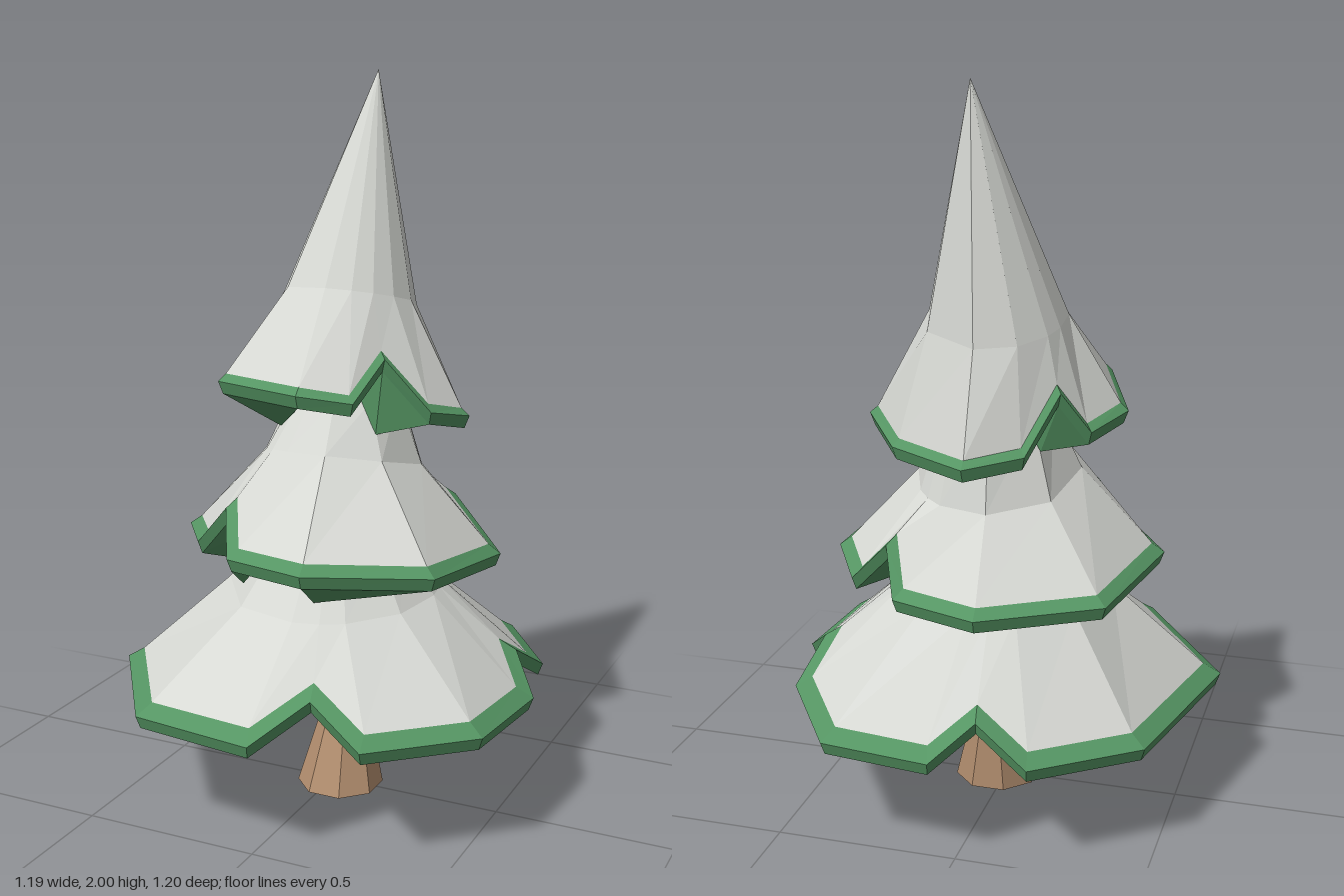
import * as THREE from 'three';

const mat = (name, color) => {
  const m = new THREE.MeshStandardMaterial({ color });
  m.name = name;
  return m;
};

// Faceted surface through closed rings of equal length, listed along the profile from underneath to top
function loft(name, rings, material, capBottom = false) {
  const p = [];
  const tri = (...v) => v.forEach((q) => p.push(...q));
  for (let r = 0; r < rings.length - 1; r++) {
    const lo = rings[r], up = rings[r + 1], n = lo.length;
    for (let i = 0; i < n; i++) {
      const j = (i + 1) % n;
      tri(lo[i], up[i], lo[j]);
      tri(lo[j], up[i], up[j]);
    }
  }
  if (capBottom) {
    const b = rings[0];
    for (let i = 1; i < b.length - 1; i++) tri(b[0], b[i], b[i + 1]);
  }
  const g = new THREE.BufferGeometry();
  g.setAttribute('position', new THREE.Float32BufferAttribute(p, 3));
  g.computeVertexNormals();
  const mesh = new THREE.Mesh(g, material);
  mesh.name = name;
  return mesh;
}

// Moves an outline inward by w with mitred corners, and up by dy
function inset(outline, w, dy) {
  const n = outline.length;
  const normal = (a, b) => {
    const dx = b[0] - a[0], dz = b[2] - a[2], l = Math.hypot(dx, dz);
    return [-dz / l, dx / l];
  };
  return outline.map((q, i) => {
    const a = normal(outline[(i + n - 1) % n], q), b = normal(q, outline[(i + 1) % n]);
    const k = w / (1 + a[0] * b[0] + a[1] * b[1]);
    return [q[0] + (a[0] + b[0]) * k, q[1] + dy, q[2] + (a[1] + b[1]) * k];
  });
}

// Ring about a centre, tilted along z, with its points at the same angles as the outline
function ringLike(outline, [cx, y, cz], r, tilt = 0) {
  return outline.map(([x, , z]) => {
    const a = Math.atan2(z - cz, x - cx);
    return [cx + r * Math.cos(a), y + tilt * r * Math.sin(a), cz + r * Math.sin(a)];
  });
}

// Rim outline from plan points: a leaning plane, lifted at the notches
function rimFrom(plan, y, slopeX, slopeZ, notches, lift) {
  return plan.map(([x, z], i) => [x, y + slopeX * x + slopeZ * z + (notches.includes(i) ? lift : 0), z]);
}

// Underside ring that dips at every step-th point to meet the tier below
function zigzag(rim, low, high, step, first) {
  return rim.map((_, i) => (i % step === first ? low[i] : high[i]));
}

export function createModel() {
  const tree = new THREE.Group();
  tree.name = 'snowyPine';
  const snow = mat('snow', 0xd6d8d3);
  const needles = mat('needleGreen', 0x559563);
  const bark = mat('bark', 0xb08c6d);

  // Trunk: eight-sided, flared foot, leaning slightly back
  const trunkRing = (x, y, z, r) => Array.from({ length: 8 }, (_, i) => {
    const a = ((i + 0.5) / 8) * Math.PI * 2;
    return [x + Math.cos(a) * r, y, z + Math.sin(a) * r];
  });
  tree.add(loft('trunk', [
    trunkRing(0.025, 0, 0.003, 0.122),
    trunkRing(0.022, 0.19, -0.033, 0.072),
    trunkRing(0.015, 0.72, -0.05, 0.068),
  ], bark, true));

  // Branch tier: snow on top, green rim band and underside
  function addTier(name, rim, band, rise, snowRings, underRings) {
    const tier = new THREE.Group();
    tier.name = name + 'Tier';
    const snowEdge = inset(rim, band, rise);
    const bottomEdge = inset(rim, 0.012, -0.035);
    tier.add(
      loft(name + 'Snow', [snowEdge, ...snowRings], snow),
      loft(name + 'Rim', [bottomEdge, rim, snowEdge], needles),
      loft(name + 'Underside', [...underRings, bottomEdge], needles),
    );
    tree.add(tier);
  }

  // Lower tier: wide, three notches, hollow beneath
  const lower = rimFrom([
    [-0.21, -0.56], [-0.065, -0.52], [0.04, -0.6], [0.34, -0.575], [0.53, -0.29], [0.5, -0.135], [0.59, -0.025],
    [0.56, 0.295], [0.315, 0.515], [0.15, 0.455], [0.04, 0.595], [-0.325, 0.535], [-0.597, 0.14], [-0.475, -0.36],
  ], 0.335, 0.02, 0.025, [1, 5, 9], 0.09);
  addTier('lower', lower, 0.045, 0.03, [
    ringLike(lower, [0, 0.6, 0], 0.3, -0.06),
    ringLike(lower, [0, 0.73, -0.02], 0.2),
    ringLike(lower, [0, 0.92, -0.04], 0.08),
  ], [
    ringLike(lower, [0.01, 0.68, -0.02], 0.04),
    ringLike(lower, [0, 0.56, 0], 0.26),
  ]);

  // Middle tier: two notches
  const middle = rimFrom([
    [-0.05, -0.49], [0.19, -0.42], [0.235, -0.335], [0.34, -0.32], [0.45, -0.125], [0.405, 0.25],
    [0.105, 0.425], [-0.14, 0.36], [-0.21, 0.235], [-0.305, 0.225], [-0.445, 0.025], [-0.36, -0.34],
  ], 0.72, 0, 0.09, [2, 8], 0.11);
  addTier('middle', middle, 0.032, 0.025, [
    ringLike(middle, [0, 0.95, -0.07], 0.225, 0.25),
    ringLike(middle, [0, 1.13, -0.09], 0.15),
    ringLike(middle, [0, 1.38, -0.12], 0.06),
  ], [
    zigzag(middle, ringLike(middle, [0, 0.63, -0.01], 0.275), ringLike(middle, [0, 0.8, -0.03], 0.16), 2, 0),
  ]);

  // Upper tier: two notches, tall tip leaning back
  const upper = rimFrom([
    [0, -0.42], [0.225, -0.3], [0.36, -0.1], [0.3, 0.03], [0.185, 0.075], [0.155, 0.21],
    [0.02, 0.27], [-0.255, 0.185], [-0.355, -0.07], [-0.285, -0.2], [-0.215, -0.25], [-0.145, -0.345],
  ], 1.135, -0.06, 0.2, [4, 10], 0.125);
  addTier('upper', upper, 0.02, 0.02, [
    ringLike(upper, [-0.01, 1.39, -0.13], 0.19, 0.26),
    ringLike(upper, [0.025, 2, -0.235], 0.0005),
  ], [
    zigzag(upper, ringLike(upper, [0, 1.05, -0.08], 0.19), ringLike(upper, [0, 1.2, -0.1], 0.12), 3, 1),
  ]);

  return tree;
}
